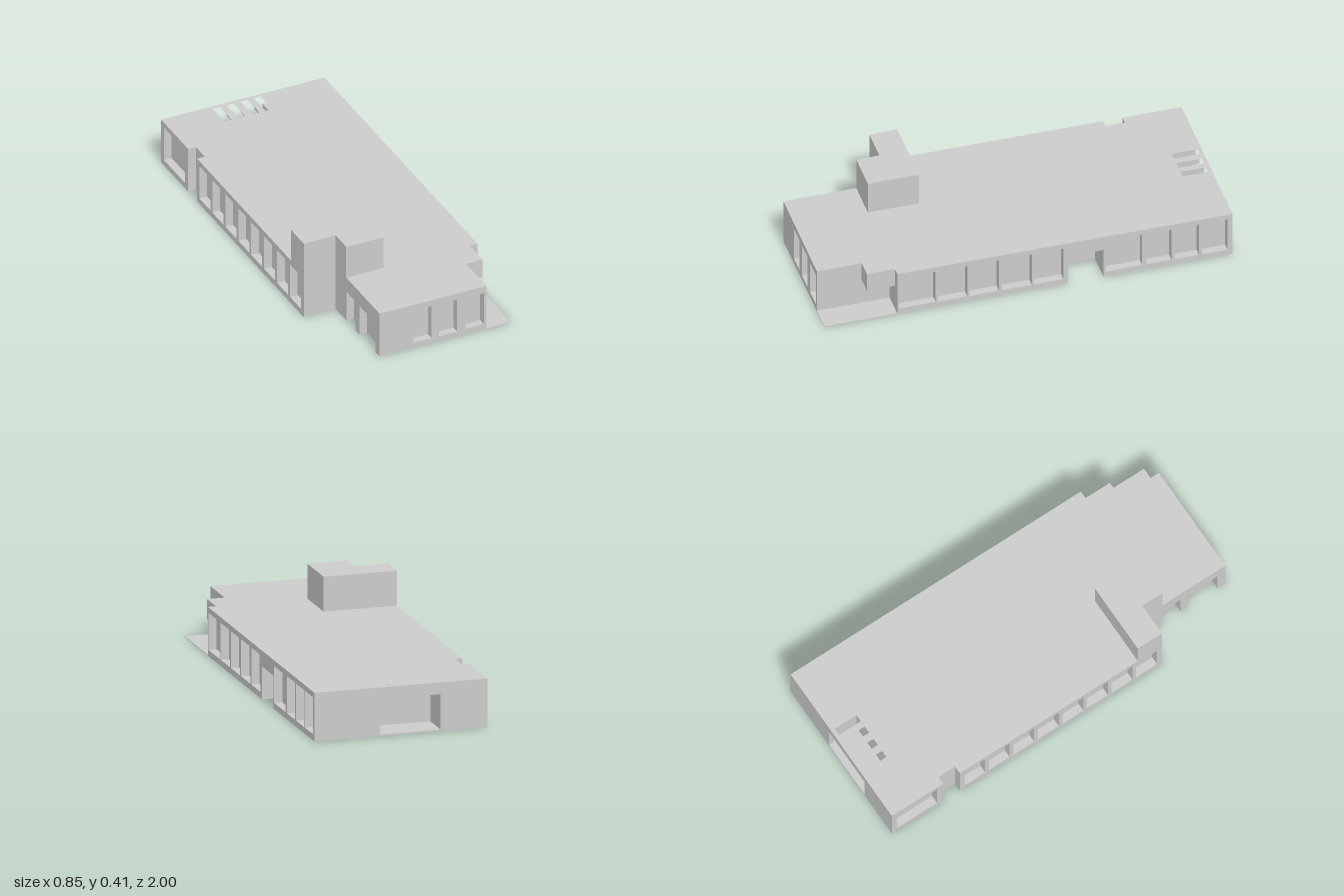
import * as THREE from 'three';

const H = 0.237;      // roof height
const T = 0.04;       // facade thickness, also the window depth
const W = 0.427;      // half width
const DOOR = 0.16;    // door height
const CEIL = 0.18;    // loading bay ceiling

const mat = new THREE.MeshStandardMaterial({ color: 0xcccccc, flatShading: true });

function add(group, name, geometry) {
  const mesh = new THREE.Mesh(geometry, mat);
  mesh.name = name;
  group.add(mesh);
  return mesh;
}

const toShape = (pts) => new THREE.Shape(pts.map(([x, y]) => new THREE.Vector2(x, y)));
const rect = (a, b, c, d) => [[a, c], [b, c], [b, d], [a, d]];

// Extrudes a plan given in (x, z) from height y0 to y1
function slab(plan, y0, y1, holes = []) {
  const flip = (pts) => pts.map(([x, z]) => [x, -z]);
  const shape = toShape(flip(plan));
  shape.holes = holes.map((h) => toShape(flip(h)));
  return new THREE.ExtrudeGeometry(shape, { depth: y1 - y0, bevelEnabled: false })
    .rotateX(-Math.PI / 2).translate(0, y0, 0);
}

// Wall from u0 to u1 with window holes [a, b, bottom, top] and doors [a, b] open to the ground
function facade(u0, u1, windows, doors = []) {
  const pts = [[u0, 0]];
  for (const [a, b] of doors) pts.push([a, 0], [a, DOOR], [b, DOOR], [b, 0]);
  pts.push([u1, 0], [u1, H], [u0, H]);
  const shape = toShape(pts);
  shape.holes = windows.map((w) => toShape(rect(...w)));
  return new THREE.ExtrudeGeometry(shape, { depth: T, bevelEnabled: false });
}

// The same wall running along z, with its +x face at x
const sideFacade = (x, ...args) => facade(...args).rotateY(-Math.PI / 2).translate(x, 0, 0);

// Plan of the solid core behind the facades
function corePlan(door, bay) {
  const r = W - T;
  return [
    [-r, -1],
    ...(bay ? [[-0.196, -1], [-0.196, -0.845], [0.103, -0.845], [0.103, -1]] : []),
    [r, -1],
    ...(door ? [[r, -0.368], [0.285, -0.368], [0.285, -0.194], [r, -0.194]] : []),
    [r, 0.643], [0.3, 0.643], [0.3, 1 - T], [-0.22, 1 - T], [-0.22, 0.53], [-r, 0.53],
  ];
}

export function createModel() {
  const model = new THREE.Group();
  model.name = 'building';

  // Core: door level, bay level, then the roof with its slots
  const slots = [-0.167, -0.095, -0.021, 0.048].map((x) => rect(x, x + 0.037, -0.98, -0.855));
  add(model, 'lowerCore', slab(corePlan(true, true), 0, DOOR));
  add(model, 'upperCore', slab(corePlan(false, true), DOOR, CEIL));
  add(model, 'roof', slab(corePlan(false, false), CEIL, H, slots));
  add(model, 'loadingBayFloor', slab(rect(-0.196, 0.103, -1, -0.845), 0, 0.008));

  // Front wall
  add(model, 'frontFacade', facade(-0.26, 0.3, [
    [-0.083, 0.013, 0.027, 0.205], [0.05, 0.146, 0.027, 0.205], [0.19, 0.286, 0.03, 0.202],
  ])).position.z = 1 - T;

  // Long wall on the +x side
  const bays = [
    [-0.975, -0.85], [-0.835, -0.717], [-0.7, -0.578], [-0.557, -0.38], [-0.171, -0.027],
    [-0.016, 0.129], [0.145, 0.289], [0.3, 0.444], [0.455, 0.632],
  ];
  add(model, 'leftFacade', sideFacade(W, -1, 0.643,
    bays.map(([a, b]) => [a, b, 0.03, 0.21]), [[-0.368, -0.194]]));

  // Long wall on the -x side, split by a narrow slot
  add(model, 'rightRearFacade', sideFacade(T - W, -1, -0.71, [[-0.97, -0.745, 0.03, 0.21]]));
  const row = Array.from({ length: 8 }, (_, i) => {
    const a = -0.59 + i * 0.139;
    return [a, a + 0.118, 0.03, 0.21];
  });
  add(model, 'rightFacade', sideFacade(T - W, -0.615, 0.53, row));

  // Set-back wall with two openings to the ground
  add(model, 'setBackFacade',
    sideFacade(T - 0.26, 0.53, 1 - T, [], [[0.645, 0.745], [0.785, 0.955]]));

  // Stepped roof block
  add(model, 'roofBlock', slab([
    [-W, 0.393], [-0.065, 0.393], [-0.065, 0.643], [-0.26, 0.643], [-0.26, 0.53], [-W, 0.53],
  ], H, 0.407));

  // Corner terrace and the canopy above it
  add(model, 'terrace', slab(rect(0.3, W, 0.643, 1), 0, 0.003));
  add(model, 'canopy', slab(rect(0.3, W - T, 0.643, 0.78), 0.138, H));

  return model;
}
